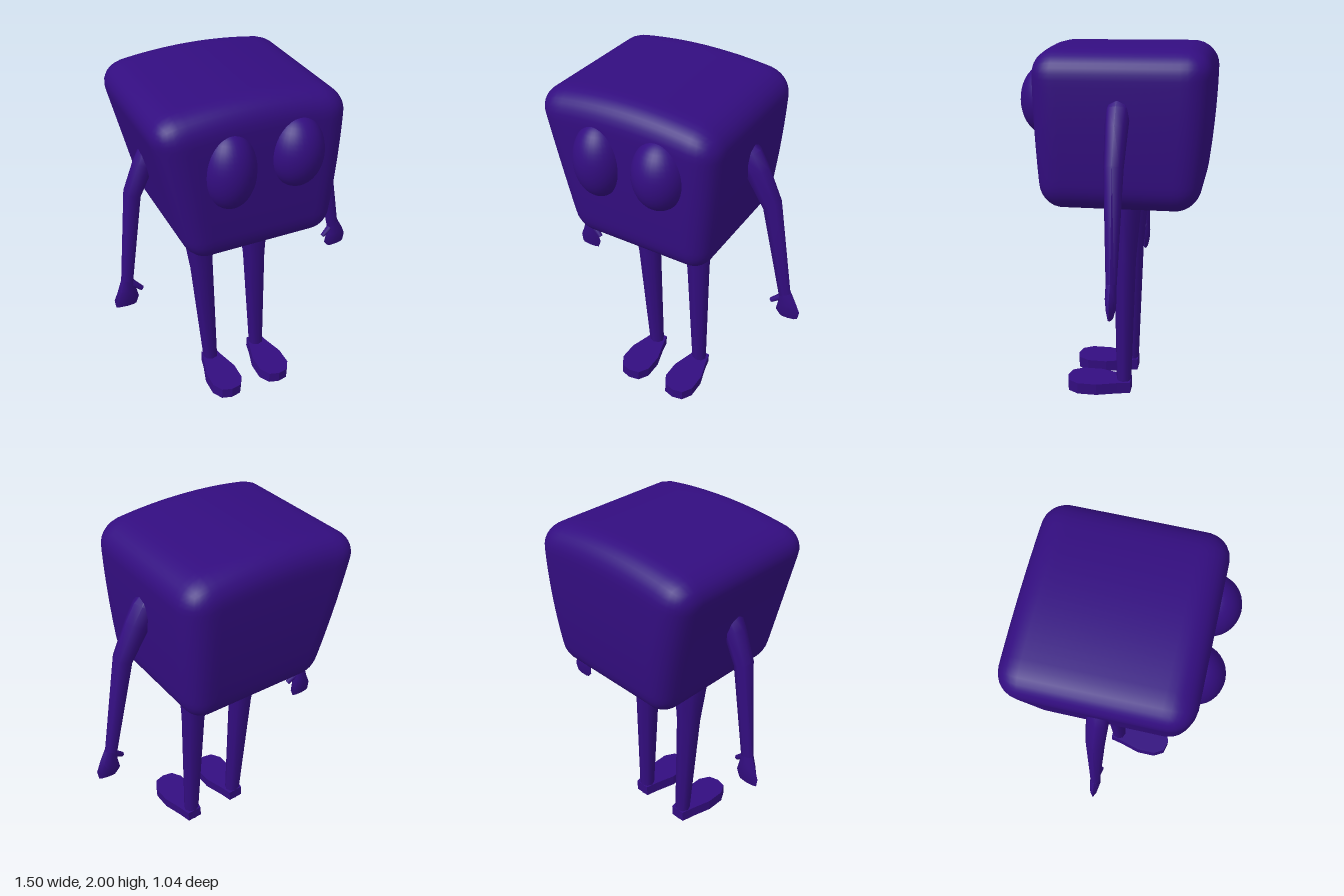
import * as THREE from 'three';
import { mergeVertices, toCreasedNormals } from 'three/addons/utils/BufferGeometryUtils.js';

const skin = new THREE.MeshStandardMaterial({ color: 0x330d80 });

function add(parent, name, geometry) {
  const mesh = new THREE.Mesh(geometry, skin);
  mesh.name = name;
  parent.add(mesh);
  return mesh;
}

// Closed limb through rings listed from top to bottom: [x, y, z, rx, rz, tilt]
function limb(rings, sides = 8) {
  const pos = [], idx = [];
  for (const [x, y, z, rx, rz, tilt = 0] of rings) {
    for (let i = 0; i < sides; i++) {
      const a = (i / sides) * Math.PI * 2;
      pos.push(x + rx * Math.cos(a), y + tilt * Math.cos(a), z + rz * Math.sin(a));
    }
  }
  const last = (rings.length - 1) * sides, top = rings.length * sides;
  pos.push(...rings[0].slice(0, 3), ...rings[rings.length - 1].slice(0, 3));
  for (let i = 0; i < sides; i++) {
    const j = (i + 1) % sides;
    for (let k = 0; k < last; k += sides) {
      idx.push(k + i, k + j, k + sides + i, k + j, k + sides + j, k + sides + i);
    }
    idx.push(top, j, i, top + 1, last + i, last + j);
  }
  const g = new THREE.BufferGeometry();
  g.setAttribute('position', new THREE.Float32BufferAttribute(pos, 3));
  g.setIndex(idx);
  return toCreasedNormals(g, 0.9);
}

// Rounded cube, narrower below, with a bowed top
function bodyGeometry() {
  const h = new THREE.Vector3(0.5, 0.435, 0.465), r = 0.13;
  const inner = h.clone().subScalar(r), lower = inner.clone().negate();
  let g = new THREE.BoxGeometry(h.x * 2, h.y * 2, h.z * 2, 24, 24, 24);
  g.deleteAttribute('uv');
  g.deleteAttribute('normal');
  g = mergeVertices(g);
  const p = g.attributes.position, v = new THREE.Vector3(), c = new THREE.Vector3();
  for (let i = 0; i < p.count; i++) {
    v.fromBufferAttribute(p, i);
    c.copy(v).clamp(lower, inner);
    v.sub(c).setLength(r).add(c);
    const t = (v.y + h.y) / (2 * h.y), u = v.x / h.x;
    const left = 0.37 + 0.1 * t - 0.045 * t * t, right = -0.435 - 0.185 * t;
    const front = 0.38 + 0.07 * t - 0.04 * t * t, back = -0.46 - 0.14 * t + 0.08 * t * t;
    p.setXYZ(i,
      THREE.MathUtils.lerp(right, left, (u + 1) / 2),
      1.13 + 0.87 * t - 0.055 * u * u * t * t,
      THREE.MathUtils.lerp(back, front, (v.z / h.z + 1) / 2));
  }
  g.computeVertexNormals();
  return g;
}

// Flat foot: narrow heel, wide toe with cut corners
function footGeometry() {
  const plan = [[-0.045, 0.09], [0.045, 0.09], [0.06, 0.02], [0.095, -0.1], [0.095, -0.21],
    [0.06, -0.27], [0, -0.285], [-0.06, -0.27], [-0.095, -0.21], [-0.095, -0.1], [-0.06, 0.02]];
  const shape = new THREE.Shape(plan.map(([x, y]) => new THREE.Vector2(x, y)));
  const g = new THREE.ExtrudeGeometry(shape, { depth: 0.067, bevelEnabled: false });
  return g.rotateX(-Math.PI / 2);
}

function thumbGeometry(from, to) {
  const a = new THREE.Vector3(...from), b = new THREE.Vector3(...to);
  const d = b.clone().sub(a);
  const g = new THREE.CylinderGeometry(0.014, 0.02, d.length(), 6);
  g.applyQuaternion(new THREE.Quaternion().setFromUnitVectors(new THREE.Vector3(0, 1, 0), d.clone().normalize()));
  const m = a.add(b).multiplyScalar(0.5);
  return g.translate(m.x, m.y, m.z);
}

export function createModel() {
  const model = new THREE.Group();
  model.name = 'cubeCreature';
  add(model, 'body', bodyGeometry());

  // Bulging eyes
  for (const [name, x, y, z, rx, ry] of [
    ['rightEye', -0.233, 1.66, 0.37, 0.138, 0.207],
    ['leftEye', 0.126, 1.69, 0.375, 0.144, 0.192]]) {
    const eye = add(model, name, new THREE.SphereGeometry(1, 32, 20));
    eye.scale.set(rx, ry, rx);
    eye.position.set(x, y, z);
  }

  // Legs and feet
  for (const [side, top, knee, ankle] of [
    ['right', -0.24, -0.225, -0.187],
    ['left', 0.102, 0.111, 0.13]]) {
    add(model, side + 'Leg', limb([
      [top, 1.19, -0.052, 0.102, 0.09],
      [top, 1.11, -0.052, 0.1, 0.087],
      [knee, 0.8, -0.05, 0.07, 0.062],
      [ankle, 0.07, -0.048, 0.046, 0.043],
      [ankle, 0.005, -0.048, 0.045, 0.042]]));
    const foot = add(model, side + 'Foot', footGeometry());
    foot.position.set(ankle, 0.01, 0);
    foot.rotation.z = -0.055;
  }

  // Arms with mitten hands
  add(model, 'leftArm', limb([
    [0.355, 1.73, -0.055, 0.035, 0.04, 0.015],
    [0.385, 1.67, -0.055, 0.065, 0.064, 0.03],
    [0.44, 1.58, -0.055, 0.063, 0.06, 0.03],
    [0.538, 1.4, -0.057, 0.049, 0.051, 0.025],
    [0.655, 0.83, -0.064, 0.036, 0.028, 0.01]]));
  add(model, 'leftHand', limb([
    [0.655, 0.84, -0.064, 0.036, 0.028, 0.01],
    [0.675, 0.77, -0.065, 0.055, 0.03, 0.01],
    [0.68, 0.715, -0.067, 0.071, 0.024, 0.015],
    [0.69, 0.673, -0.067, 0.053, 0.012, 0.006]]));
  add(model, 'leftThumb', thumbGeometry([0.645, 0.815, -0.062], [0.583, 0.765, -0.05]));

  add(model, 'rightArm', limb([
    [-0.43, 1.71, -0.055, 0.035, 0.04, -0.01],
    [-0.465, 1.65, -0.055, 0.06, 0.062, -0.025],
    [-0.525, 1.55, -0.055, 0.055, 0.058, -0.02],
    [-0.598, 1.385, -0.057, 0.047, 0.051, -0.018],
    [-0.67, 0.82, -0.064, 0.036, 0.028]]));
  add(model, 'rightHand', limb([
    [-0.67, 0.83, -0.064, 0.036, 0.028],
    [-0.677, 0.76, -0.065, 0.053, 0.03],
    [-0.682, 0.695, -0.067, 0.072, 0.024, -0.004],
    [-0.688, 0.647, -0.067, 0.06, 0.012, -0.002]]));
  add(model, 'rightThumb', thumbGeometry([-0.65, 0.805, -0.062], [-0.592, 0.75, -0.05]));

  return model;
}
